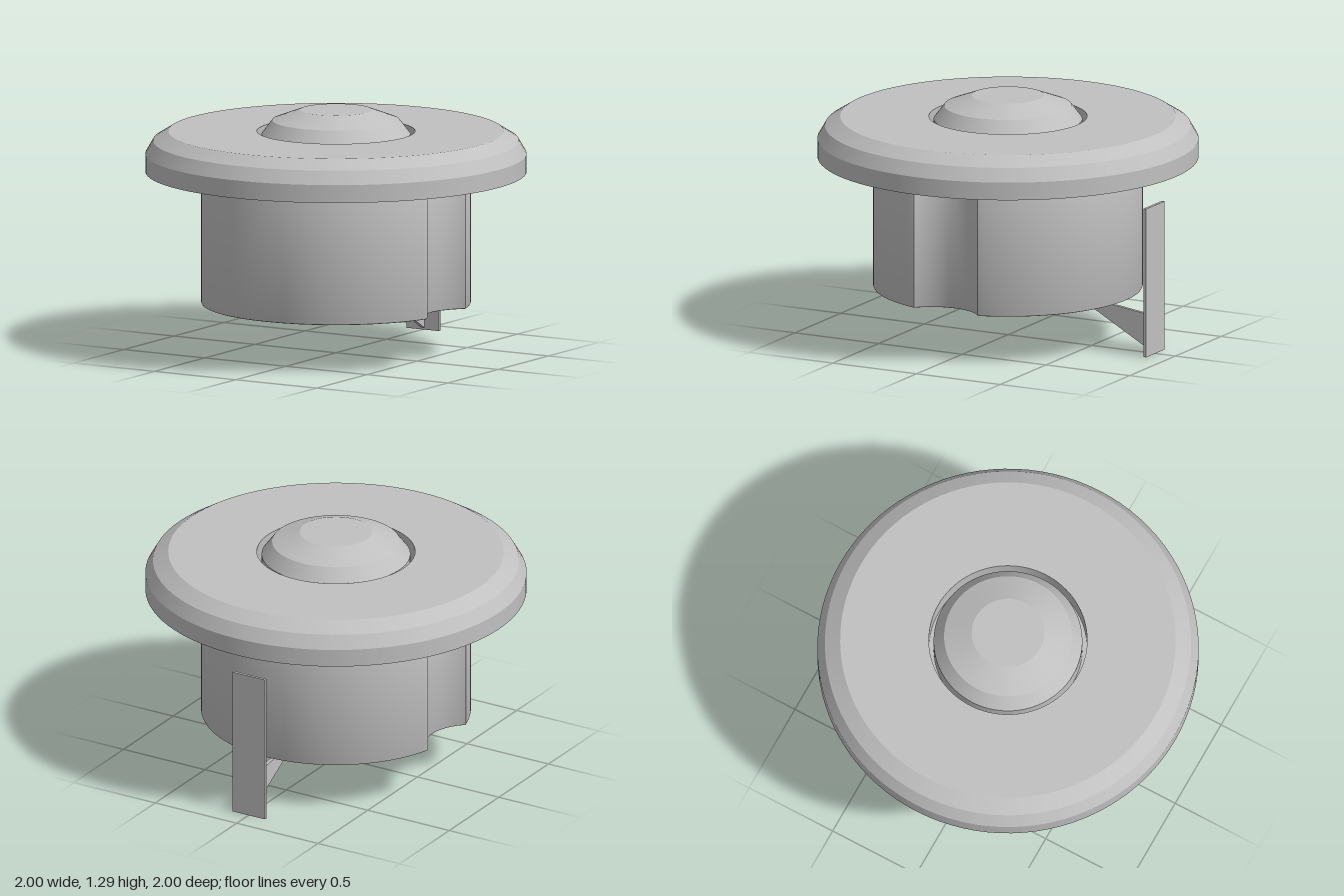
import * as THREE from 'three';
import { mergeGeometries, toCreasedNormals } from 'three/addons/utils/BufferGeometryUtils.js';

const grey = new THREE.MeshStandardMaterial({ color: 0xc0c0c0 });
grey.name = 'plain grey';

function addPart(group, name, geometry) {
  const mesh = new THREE.Mesh(geometry, grey);
  mesh.name = name;
  group.add(mesh);
  return mesh;
}

// Round smoothly about the axis, with a sharp edge at every profile point
function bandedLathe(profile, segments = 96) {
  const bands = [];
  for (let i = 0; i < profile.length - 1; i++) {
    const pair = [profile[i], profile[i + 1]].map(([r, y]) => new THREE.Vector2(r, y));
    bands.push(new THREE.LatheGeometry(pair, segments));
  }
  return mergeGeometries(bands);
}

// Plug outline: a circle with a shallow scooped notch on each side
function plugGeometry(bottom, top) {
  const radius = 0.707, halfNotch = 0.19, notchCentre = 0.835, bevel = 0.008;
  const a = Math.asin(halfNotch / radius);
  const dx = notchCentre - radius * Math.cos(a);
  const b = Math.atan2(halfNotch, dx);
  const notchRadius = Math.hypot(halfNotch, dx);
  const shape = new THREE.Shape();
  shape.absarc(0, 0, radius, a, Math.PI - a, false);
  shape.absarc(-notchCentre, 0, notchRadius, b, -b, true);
  shape.absarc(0, 0, radius, Math.PI + a, 2 * Math.PI - a, false);
  shape.absarc(notchCentre, 0, notchRadius, Math.PI + b, Math.PI - b, true);
  const geometry = new THREE.ExtrudeGeometry(shape, {
    depth: top - bottom - bevel, curveSegments: 32,
    bevelSize: bevel, bevelThickness: bevel, bevelOffset: -bevel, bevelSegments: 2,
  });
  geometry.rotateX(-Math.PI / 2).translate(0, bottom + bevel, 0);
  return toCreasedNormals(geometry, 0.6);
}

export function createModel() {
  const model = new THREE.Group();
  model.name = 'stopper';

  // Lid, hollowed underneath and with a round well on top
  addPart(model, 'lid', bandedLathe([
    [0, 1.0], [0.9, 1.0], [0.9, 0.965], [1, 0.965], [1, 1.06],
    [0.96, 1.13], [0.88, 1.18], [0.415, 1.18], [0.415, 1.05], [0, 1.05],
  ]));

  // Button sitting in the well
  addPart(model, 'button', bandedLathe([
    [0.39, 1.05], [0.39, 1.165], [0.335, 1.238], [0.19, 1.293], [0, 1.293],
  ]));

  addPart(model, 'plug', plugGeometry(0.265, 1.005));

  // Upright tab behind the plug
  const tab = addPart(model, 'rearTab', new THREE.BoxGeometry(0.2, 0.8, 0.016));
  tab.position.set(0, 0.4, -0.872);

  // Thin triangular web joining the tab to the plug
  const web = new THREE.Shape([
    new THREE.Vector2(0.4, 0.268), new THREE.Vector2(0.866, 0.01), new THREE.Vector2(0.866, 0.205),
  ]);
  const webGeometry = new THREE.ExtrudeGeometry(web, { depth: 0.02, bevelEnabled: false });
  webGeometry.translate(0, 0, -0.01).rotateY(Math.PI / 2);
  addPart(model, 'tabWeb', webGeometry);

  return model;
}
